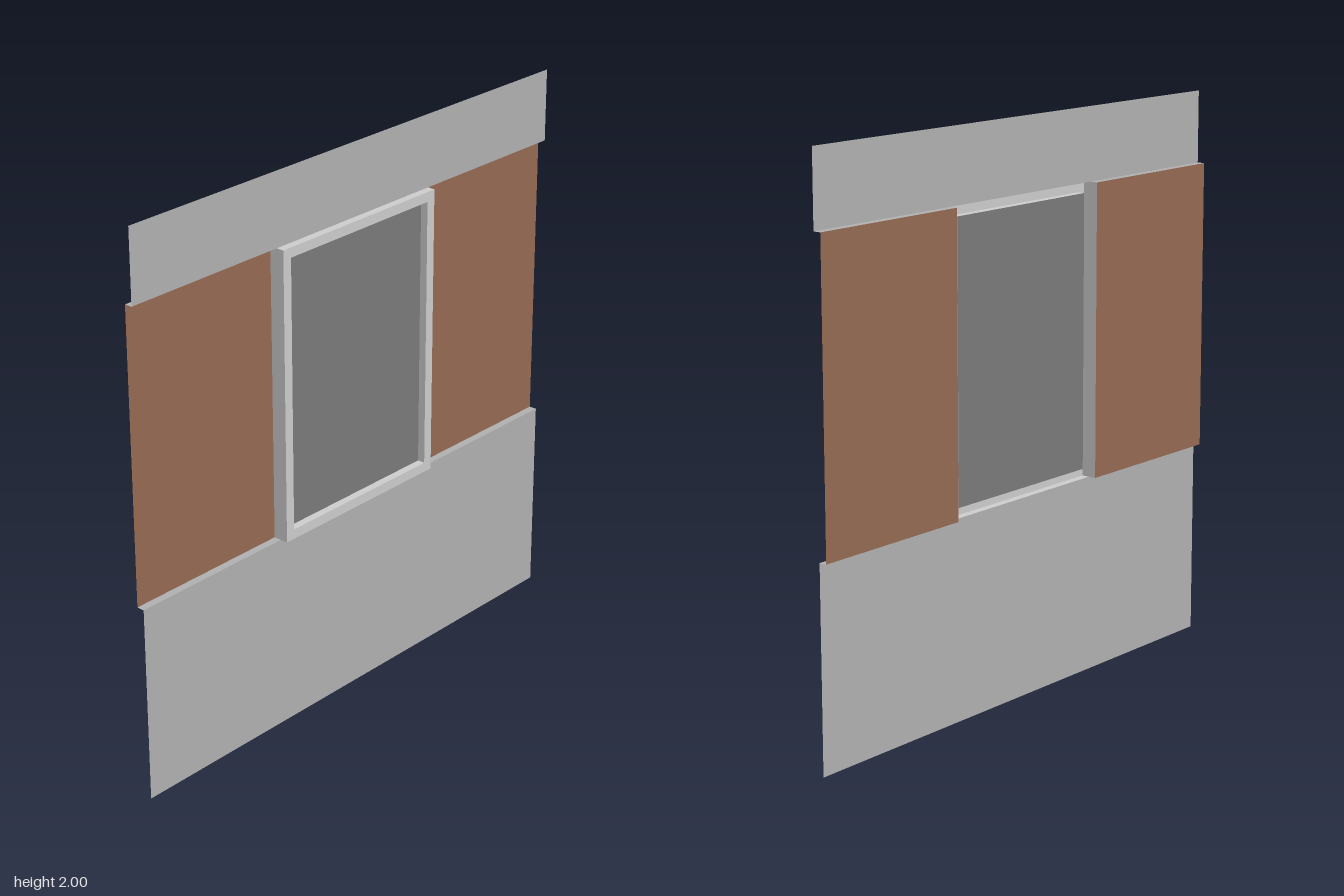
import * as THREE from 'three';

// Main levels and depths of the facade strip
const D = 0.028;                   // recess depth and frame projection
const BOT = 0.705, TOP = 1.742;    // window band
const FX = 0.368, BORDER = 0.035;  // frame half width and border
const MID = (BOT + TOP) / 2, H = TOP - BOT;

const mat = (color) => new THREE.MeshStandardMaterial({ color, side: THREE.DoubleSide, flatShading: true });

export function createModel() {
  const model = new THREE.Group();
  const wallMat = mat(0xafafaf), frameMat = mat(0xcccccc);
  const panelMat = mat(0x936952), glassMat = mat(0x797979);

  // Thin sheet: rx tips it to face up or down, ry turns it sideways
  const sheet = (parent, name, material, w, h, x, y, z, rx = 0, ry = 0) => {
    const mesh = new THREE.Mesh(new THREE.PlaneGeometry(w, h), material);
    mesh.name = name;
    mesh.position.set(x, y, z);
    mesh.rotation.set(rx, ry, 0);
    parent.add(mesh);
  };

  // Plain wall bands below and above the window strip
  sheet(model, 'lowerWall', wallMat, 2, BOT, 0, BOT / 2, 0);
  sheet(model, 'upperWall', wallMat, 2, 2 - TOP, 0, (2 + TOP) / 2, 0);

  // Recessed side panels with sill and soffit
  const pw = 1 - FX;
  for (const s of [-1, 1]) {
    const bay = new THREE.Group();
    bay.name = s > 0 ? 'leftBay' : 'rightBay';
    const x = s * (1 + FX) / 2;
    sheet(bay, 'panel', panelMat, pw, H, x, MID, -D);
    sheet(bay, 'sill', wallMat, pw, D, x, BOT, -D / 2, -Math.PI / 2);
    sheet(bay, 'soffit', wallMat, pw, D, x, TOP, -D / 2, Math.PI / 2);
    model.add(bay);
  }

  // Projecting window frame, open at the back
  const frame = new THREE.Group();
  frame.name = 'windowFrame';
  const ix = FX - BORDER, ih = H / 2 - BORDER;
  const rect = (P, a, b) => new P([[-a, -b], [a, -b], [a, b], [-a, b]].map(p => new THREE.Vector2(...p)));
  const face = rect(THREE.Shape, FX, H / 2);
  face.holes.push(rect(THREE.Path, ix, ih));
  const front = new THREE.Mesh(new THREE.ShapeGeometry(face), frameMat);
  front.name = 'frameFace';
  front.position.set(0, MID, D);
  frame.add(front);
  for (const s of [-1, 1]) {
    // Outer jambs reach back to the panels, head and foot only to the wall
    sheet(frame, 'outerJamb', frameMat, 2 * D, H, s * FX, MID, 0, 0, s * Math.PI / 2);
    sheet(frame, 'outerRail', frameMat, 2 * FX, D, 0, MID + s * H / 2, D / 2, -s * Math.PI / 2);
    // Reveals around the glass
    sheet(frame, 'innerJamb', frameMat, D, 2 * ih, s * ix, MID, D / 2, 0, -s * Math.PI / 2);
    sheet(frame, 'innerRail', frameMat, 2 * ix, D, 0, MID + s * ih, D / 2, s * Math.PI / 2);
  }
  model.add(frame);

  // Glass pane set back in the frame
  sheet(model, 'glass', glassMat, 2 * ix, 2 * ih, 0, MID, 0);
  return model;
}
